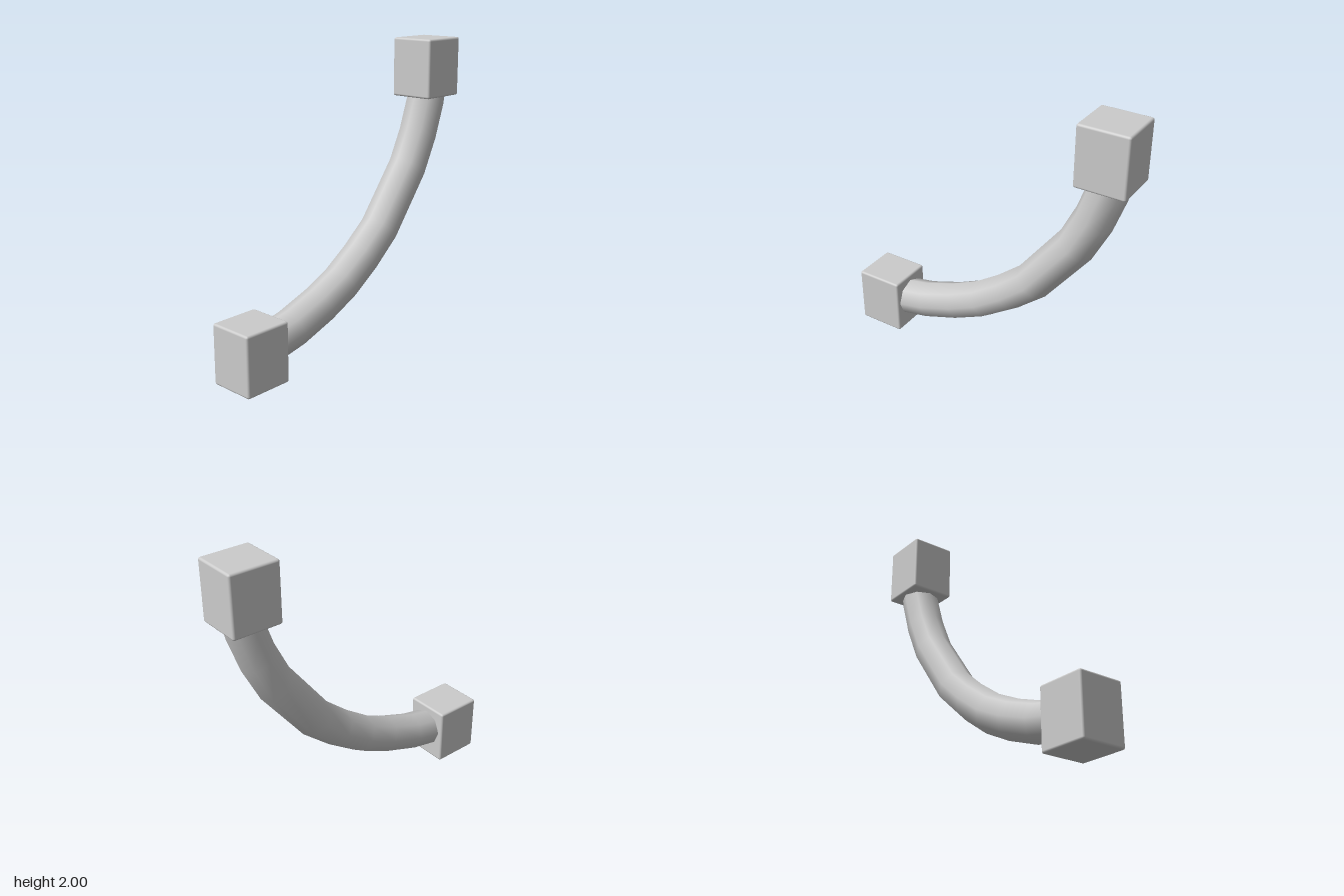
import * as THREE from 'three';
import { RoundedBoxGeometry } from 'three/addons/geometries/RoundedBoxGeometry.js';

const RADIUS = 0.13;
const SIDES = 8;

// Centre line of the bent bar, from the low end block to the high one
const PATH = [
  [-0.74, 0.212], [-0.495, 0.262], [-0.25, 0.348], [-0.04, 0.447], [0.16, 0.583],
  [0.345, 0.738], [0.64, 1.122], [0.75, 1.343], [0.828, 1.565], [0.85, 1.68],
].map(([x, y]) => new THREE.Vector2(x, y));

// Eight-sided tube: each ring of an open cylinder is moved onto the path
function bentTube() {
  const rings = PATH.length;
  const geo = new THREE.CylinderGeometry(RADIUS, RADIUS, 1, SIDES, rings - 1, true);
  const pos = geo.attributes.position;
  const nor = geo.attributes.normal;
  for (let r = 0; r < rings; r++) {
    // cylinder rings run from top to bottom
    const k = rings - 1 - r;
    const dir = PATH[Math.min(k + 1, rings - 1)].clone().sub(PATH[Math.max(k - 1, 0)]).normalize();
    for (let s = 0; s <= SIDES; s++) {
      const i = r * (SIDES + 1) + s;
      const a = (s / SIDES) * Math.PI * 2;
      const across = Math.cos(a);
      const depth = Math.sin(a);
      const nx = dir.y * across;
      const ny = -dir.x * across;
      const nz = -depth;
      pos.setXYZ(i, PATH[k].x + nx * RADIUS, PATH[k].y + ny * RADIUS, nz * RADIUS + 0.004);
      nor.setXYZ(i, nx, ny, nz);
    }
  }
  // the winding follows the ring direction; turn it outward
  const idx = geo.index;
  const p = [0, 1, 2].map((n) => new THREE.Vector3().fromBufferAttribute(pos, idx.getX(n)));
  const face = p[1].clone().sub(p[0]).cross(p[2].clone().sub(p[0]));
  if (face.dot(new THREE.Vector3().fromBufferAttribute(nor, idx.getX(0))) < 0) {
    for (let n = 0; n < idx.count; n += 3) {
      const t = idx.getX(n);
      idx.setX(n, idx.getX(n + 1));
      idx.setX(n + 1, t);
    }
  }
  return geo;
}

export function createModel() {
  const model = new THREE.Group();
  model.name = 'curvedHandle';
  const grey = new THREE.MeshStandardMaterial({ color: 0xcccccc });
  const add = (name, geometry, x = 0, y = 0) => {
    const mesh = new THREE.Mesh(geometry, grey);
    mesh.name = name;
    mesh.position.set(x, y, 0);
    model.add(mesh);
  };

  // Bent bar
  add('bentBar', bentTube());

  // Bevelled end blocks
  const block = new RoundedBoxGeometry(0.334, 0.4, 0.314, 2, 0.015);
  add('lowerBlock', block, -0.833, 0.2);
  add('upperBlock', block, 0.833, 1.8);

  return model;
}
